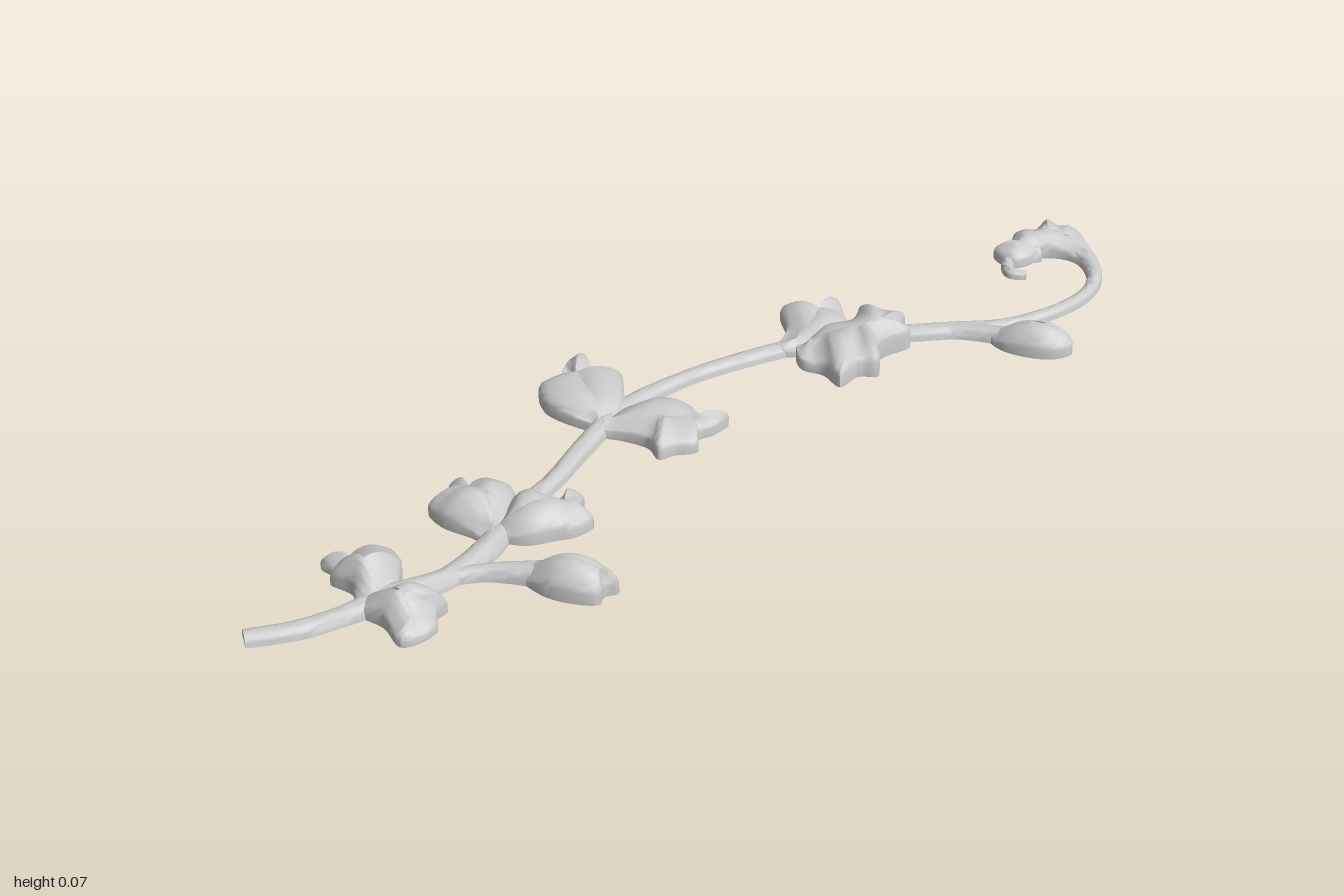
import * as THREE from 'three';
import { mergeGeometries, mergeVertices, toCreasedNormals } from 'three/addons/utils/BufferGeometryUtils.js';

const material = new THREE.MeshStandardMaterial({ color: 0xcccccc, side: THREE.DoubleSide });

// Joins rings of equal point count into a skin; closed rings wrap round
function skin(rings, caps = false) {
  const n = rings[0].length, index = [];
  for (let k = 0; k < rings.length - 1; k++) {
    for (let j = 0; j < n; j++) {
      const a = k * n + j, b = k * n + (j + 1) % n;
      index.push(a, b, b + n, a, b + n, a + n);
    }
  }
  if (caps) {
    const last = (rings.length - 1) * n;
    for (let j = 1; j < n - 1; j++) index.push(0, j + 1, j, last, last + j, last + j + 1);
  }
  const g = new THREE.BufferGeometry();
  g.setAttribute('position', new THREE.Float32BufferAttribute(rings.flat().flatMap(p => [p.x, p.y, p.z]), 3));
  g.setIndex(index);
  return g;
}

function addMesh(group, name, geometry, crease) {
  const mesh = new THREE.Mesh(toCreasedNormals(geometry, crease), material);
  mesh.name = name;
  group.add(mesh);
}

// Flat-bottomed half-round stem; points are [x, z, width, height] in hundredths
function stem(group, name, points, steps) {
  const curve = new THREE.CatmullRomCurve3(points.map(p => new THREE.Vector3(p[0] / 100, 0, p[1] / 100)), false, 'centripetal');
  const rings = [];
  for (let i = 0; i <= steps; i++) {
    const t = i / steps, f = t * (points.length - 1);
    const k = Math.min(Math.floor(f), points.length - 2);
    const w = THREE.MathUtils.lerp(points[k][2], points[k + 1][2], f - k) / 200;
    const h = THREE.MathUtils.lerp(points[k][3], points[k + 1][3], f - k) / 100;
    const c = curve.getPoint(t), d = curve.getTangent(t);
    const ring = [];
    for (let j = 0; j <= 10; j++) {
      const a = Math.PI * j / 10;
      const s = Math.cos(a) * w;
      ring.push(new THREE.Vector3(c.x - d.z * s, Math.pow(Math.sin(a), 0.7) * h || 0, c.z + d.x * s));
    }
    rings.push(ring);
  }
  addMesh(group, name, skin(rings, true), 0.9);
}

// Relief leaf: upright rim round the outline, swelling up to a midrib.
// outline is [x, z], midrib is [x, z, height], all in hundredths
function leaf(group, name, outline, midrib, rim = 0.55) {
  const toCurve = (pts, closed) => new THREE.CatmullRomCurve3(
    pts.map(p => new THREE.Vector3(p[0] / 100, (p[2] || 0) / 100, p[1] / 100)), closed, 'centripetal');
  let edge = toCurve(outline, true).getPoints(outline.length * 5).slice(0, -1);
  if (THREE.ShapeUtils.area(edge.map(p => new THREE.Vector2(p.x, -p.z))) < 0) edge.reverse();
  const spine = toCurve(midrib, false).getPoints(30);
  const flat = (a, b) => Math.hypot(a.x - b.x, a.z - b.z);
  const foot = edge.map(p => spine.reduce((best, q) => flat(p, q) < flat(p, best) ? q : best));
  const reach = edge.map((p, j) => flat(p, foot[j]));
  const n = edge.length;
  // Lobes stand proud and the notches between them become grooves
  const lobe = reach.map((r, j) => {
    let sum = 0;
    for (let k = -10; k <= 10; k++) sum += reach[(j + k + n) % n];
    return THREE.MathUtils.clamp((r - sum / 21) * 0.45, -0.01, 0.01);
  });
  const rings = [edge, edge.map((p, j) => new THREE.Vector3(p.x, foot[j].y * rim * 0.8, p.z))];
  for (const s of [0.06, 0.18, 0.32, 0.48, 0.64, 0.8, 0.92, 1]) {
    const swell = Math.sin(s * Math.PI / 2) * (1.06 - 0.06 * Math.pow(s, 6));
    rings.push(edge.map((p, j) => {
      const q = p.clone().lerp(foot[j], s);
      q.y = foot[j].y * (rim + (1 - rim) * swell) + lobe[j] * 4 * s * (1 - s);
      return q;
    }));
  }
  const base = new THREE.ShapeGeometry(new THREE.Shape(edge.map(p => new THREE.Vector2(p.x, p.z))));
  base.rotateX(Math.PI / 2);
  base.deleteAttribute('uv');
  base.deleteAttribute('normal');
  addMesh(group, name, mergeVertices(mergeGeometries([skin(rings), base])), 0.75);
}

export function createModel() {
  const g = new THREE.Group();
  g.name = 'vineOrnament';

  // Main winding stem and its side shoots
  stem(g, 'mainStem', [
    [8, 99, 4, 2], [11, 91, 4, 2.2], [12, 83, 4, 2.4], [12, 74, 5, 3], [12.5, 63, 4.5, 2.4], [9, 53, 5, 2.6],
    [3, 44, 4, 2.2], [-2, 33, 3.6, 2], [-9, 21, 4, 2.2], [-14.5, 10, 4.4, 2.4], [-17, -5, 3.4, 2], [-16, -21, 4, 2],
    [-13.5, -33, 4, 2.2], [-7.5, -47, 4.4, 2.2], [-2, -57.5, 4.2, 2.2], [2, -66, 3.2, 2], [3.5, -77, 2.8, 2],
    [2, -86, 2.8, 2], [-2.5, -92.5, 3, 2], [-9, -95.5, 4, 2.4], [-14, -94, 4, 2.8]], 130);
  stem(g, 'lowerBudStalk', [[12.5, 63, 3, 2.2], [15, 57, 3.4, 2.4], [19, 52, 4.5, 3], [22, 49, 6, 3.5]], 16);
  stem(g, 'upperBudStalk', [[-6, -51, 3, 2], [-1, -58, 3.6, 2.3], [4, -62.5, 4, 2.6], [8, -65, 6, 3]], 16);
  stem(g, 'tipCurl', [[-16, -89, 5, 3], [-17, -84, 3.6, 2.4], [-15, -81, 2.4, 2], [-12.5, -80, 2, 1.8], [-10.5, -82, 1.6, 1.4]], 20);

  // Lowest pair of leaves
  leaf(g, 'lowestLeafRight',
    [[12, 73], [9, 70], [5, 67.5], [0, 67.5], [1, 72], [-2, 74], [-3, 78.5], [1, 78], [2, 79.5], [7, 78], [12, 80]],
    [[12, 76, 3], [9, 75.5, 5], [6, 75.5, 6.6], [3, 75, 4.8], [1, 75, 3.6]], 0.45);
  leaf(g, 'lowestLeafLeft',
    [[12, 73], [16, 69], [20, 67.5], [21, 70], [24, 72], [25, 77], [24, 79], [18, 78.5], [12, 80]],
    [[12, 76, 3], [15, 75.5, 5], [17.5, 75, 6.3], [20, 75, 5], [22, 75.5, 3.6]], 0.45);

  // Closed buds
  leaf(g, 'lowerBud',
    [[18, 53], [20, 48], [24, 43.5], [29, 41], [32, 41.5], [31.5, 44], [32.8, 46], [30, 49.5], [26, 52], [21, 53]],
    [[20, 51, 3], [24, 48, 5.6], [27, 46, 6], [30, 44, 5]], 0.5);
  leaf(g, 'upperBud',
    [[3, -61.5], [5, -66], [8.5, -69], [13, -72], [16.5, -70.5], [16, -66.5], [12, -62.5], [7, -60.5]],
    [[5, -63, 2.8], [8, -65, 4.6], [11, -67.5, 5.4], [14, -69, 4.6]], 0.5);

  // Second pair of leaves
  leaf(g, 'secondLeafLeft',
    [[3, 46], [0.5, 41], [4, 38.5], [5, 36], [4, 33], [7, 32], [9, 34.5], [13, 34], [14, 38], [13, 41.5], [11, 47], [6, 50]],
    [[6, 48, 3], [7, 44, 5], [8, 40, 5.6], [8.5, 37, 4.4]], 0.5);
  leaf(g, 'secondLeafRight',
    [[6, 48], [2, 43], [-2, 41], [-7, 42], [-6, 45.5], [-10.5, 47], [-9, 50], [-6, 50.5], [-7, 55], [-2, 55.5], [4, 53], [8, 51.5]],
    [[6, 50, 3], [3, 48.5, 5], [-1, 48, 5.6], [-5, 48, 4]], 0.5);

  // Third pair of leaves
  leaf(g, 'thirdLeafRight',
    [[-11, 17], [-14, 10], [-18, 7], [-24, 4], [-23.5, 8], [-26, 8], [-33, 6], [-32.5, 10], [-29, 14], [-28.5, 18.5],
      [-23, 21], [-19, 20.5], [-13, 18]],
    [[-13, 16, 2.8], [-17, 14, 3.9], [-22, 13, 3.8], [-28, 11, 3.2]], 0.7);
  leaf(g, 'thirdLeafLeft',
    [[-13, 16], [-13, 8], [-11, 2], [-7, 0], [-4, 0], [-0.5, -4], [1, 0], [1, 4], [4, 6], [2.5, 10], [2, 13], [-2, 12.5],
      [-7, 15], [-11, 18]],
    [[-11, 15, 2.8], [-8, 11, 3.8], [-4, 7, 4], [-1, 3, 3.6]], 0.6);

  // Fourth pair of leaves, rising toward the raised outer lobes
  leaf(g, 'fourthLeafRight',
    [[-15, -25], [-19, -30.5], [-25.5, -34], [-24, -37], [-21.5, -39], [-22, -44.5], [-17, -42.5], [-14, -41], [-11, -35], [-12, -28]],
    [[-14, -29, 2.8], [-16, -34, 4], [-19, -38, 4]], 0.6);
  leaf(g, 'fourthLeafLeft',
    [[-14, -30], [-15, -36], [-12.5, -41], [-15, -45], [-11, -48], [-8, -50], [-6, -47.5], [-3, -47.5], [-2.5, -40],
      [2, -36], [0, -33], [1, -28], [-4, -28], [-8, -26], [-12, -27.5]],
    [[-12, -31, 3.2], [-9.5, -35, 5], [-7, -39, 5.8], [-6, -43, 6.2]], 0.65);

  // Curled leaf at the end of the vine
  leaf(g, 'tipLeaf',
    [[-6, -96.3], [-12, -98.8], [-18, -100], [-20, -98], [-22.5, -97], [-21, -93], [-22.5, -89], [-20.5, -86], [-20.5, -82],
      [-15, -82], [-14, -86], [-15, -88.5], [-12, -92.5], [-7, -94.5]],
    [[-9, -95.5, 2.6], [-14, -95, 3.8], [-17.5, -91, 4.7], [-18, -86, 3.6]], 0.55);

  return g;
}
